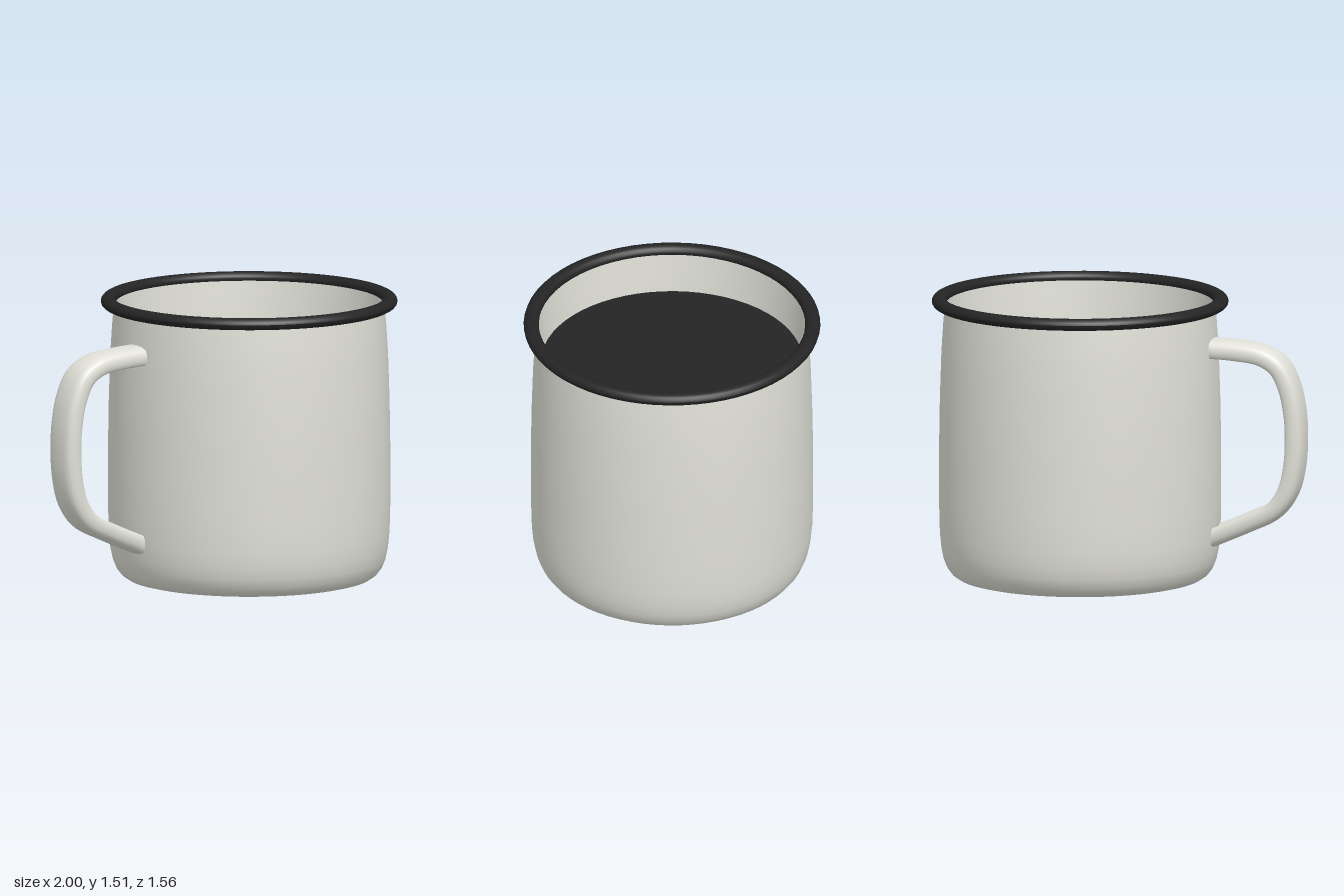
import * as THREE from 'three';

const CENTER_X = 0.22; // mug axis, offset to leave room for the handle
const SEGMENTS = 64;

const v2 = ([x, y]) => new THREE.Vector2(x, y);

// Sweeps a closed (across, outward) section along a path in the XY plane.
function sweepStrap(path, section, steps) {
  const positions = [], index = [], n = section.length;
  for (let i = 0; i <= steps; i++) {
    const p = path.getPoint(i / steps), t = path.getTangent(i / steps);
    for (const s of section) positions.push(p.x + t.y * s.y, p.y - t.x * s.y, s.x);
  }
  for (let i = 0; i < steps; i++) {
    for (let j = 0; j < n; j++) {
      const k = (j + 1) % n;
      const a = i * n + j, b = i * n + k, c = b + n, d = a + n;
      index.push(a, b, c, a, c, d);
    }
  }
  const geometry = new THREE.BufferGeometry();
  geometry.setAttribute('position', new THREE.Float32BufferAttribute(positions, 3));
  geometry.setIndex(index);
  geometry.computeVertexNormals();
  return geometry;
}

export function createModel() {
  const group = new THREE.Group();
  group.name = 'enamelMug';
  const enamel = new THREE.MeshStandardMaterial({ name: 'warm white enamel', color: 0xe0e0d8 });
  const black = new THREE.MeshStandardMaterial({ name: 'black', color: 0x242424 });

  const add = (name, geometry, material, x = CENTER_X, y = 0) => {
    const mesh = new THREE.Mesh(geometry, material);
    mesh.name = name;
    mesh.position.set(x, y, 0);
    group.add(mesh);
    return mesh;
  };

  // Outer wall: rounded foot, nearly straight sides, slight taper to the mouth
  const outer = [
    [0.61, 0.003], [0.645, 0.012], [0.675, 0.032], [0.7, 0.065], [0.718, 0.11], [0.73, 0.17],
    [0.738, 0.25], [0.742, 0.4], [0.742, 0.7], [0.738, 0.95], [0.73, 1.2], [0.72, 1.36], [0.71, 1.47],
  ].map(v2);
  add('outerWall', new THREE.LatheGeometry(outer, SEGMENTS), enamel);

  // Flat underside
  add('base', new THREE.CircleGeometry(0.612, SEGMENTS).rotateX(Math.PI / 2), enamel, CENTER_X, 0.003);

  // Inner wall, running down to just below the drink
  const inner = [[0.705, 1.485], [0.7, 1.42], [0.69, 1.3], [0.685, 1.22]].map(v2);
  add('innerWall', new THREE.LatheGeometry(inner, SEGMENTS), enamel);

  // Drink surface
  add('drink', new THREE.CircleGeometry(0.688, SEGMENTS).rotateX(-Math.PI / 2), black, CENTER_X, 1.25);

  // Rolled rim with a slightly flattened section
  const rim = [];
  for (let i = 0; i <= 16; i++) {
    const a = (i / 16) * Math.PI * 2;
    rim.push(new THREE.Vector2(0.74 + 0.04 * Math.cos(a), 1.478 + 0.032 * Math.sin(a)));
  }
  add('rim', new THREE.LatheGeometry(rim, SEGMENTS), black);

  // Strap handle with a rounded back and a shallow groove inside
  const path = new THREE.CatmullRomCurve3([
    [-0.495, 1.258], [-0.64, 1.25], [-0.77, 1.23], [-0.86, 1.175], [-0.915, 1.07], [-0.945, 0.93],
    [-0.952, 0.78], [-0.942, 0.64], [-0.908, 0.51], [-0.835, 0.41], [-0.7, 0.34], [-0.495, 0.25],
  ].map(([x, y]) => new THREE.Vector3(x, y, 0)));
  const half = [[0.05, -0.025], [0.068, -0.045], [0.09, -0.042], [0.101, -0.01], [0.09, 0.03], [0.055, 0.048]];
  const mirrored = half.map(([x, y]) => [-x, y]).reverse();
  const section = new THREE.CatmullRomCurve3(
    [...half, ...mirrored].map(([x, y]) => new THREE.Vector3(x, y, 0)), true,
  ).getPoints(36).slice(0, -1);
  add('handle', sweepStrap(path, section, 48), enamel, 0);

  return group;
}
